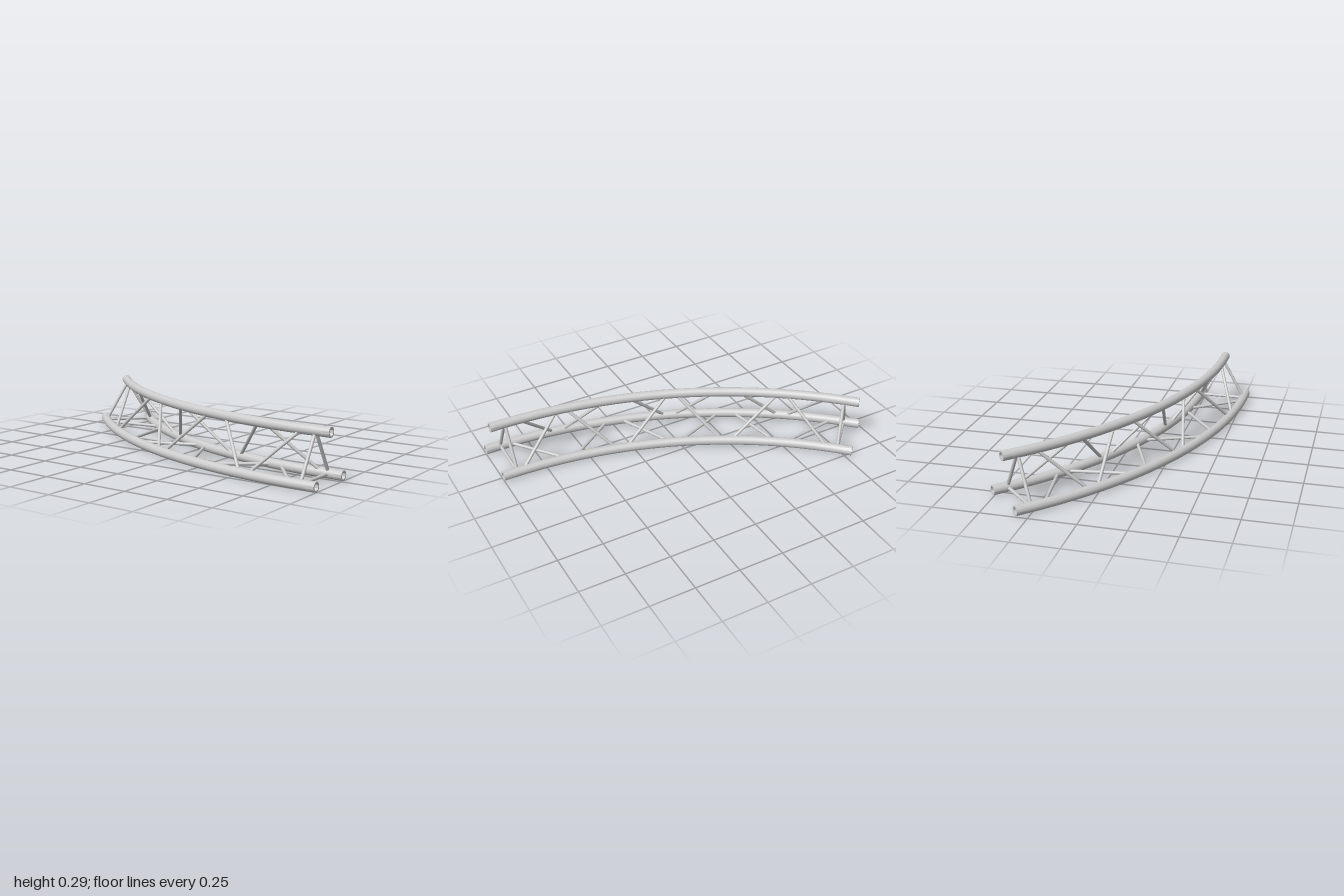
import * as THREE from 'three';
import { toCreasedNormals } from 'three/addons/utils/BufferGeometryUtils.js';

const BEND = Math.PI / 4, STUB = 0.045;           // total bend, straight sleeve at each end
const CX = 2.195, CZ = 0.955;                     // centre of the bend
const PIPE = 0.0265, BORE = 0.0185, ROD = 0.009;
const CHORDS = {
  outer: { r: 2.7, y: 0.0265 },
  apex: { r: 2.5625, y: 0.265 },
  inner: { r: 2.425, y: 0.0265 },
};
const mat = new THREE.MeshStandardMaterial({ color: 0xcccccc });
const UP = new THREE.Vector3(0, 1, 0);
const deg = THREE.MathUtils.degToRad;

// point on a chord at an angle along the bend
function onChord({ r, y }, a) {
  return new THREE.Vector3(CX - r * Math.cos(a), y, CZ - r * Math.sin(a));
}

class BendCurve extends THREE.Curve {
  constructor(chord) {
    super();
    this.chord = chord;
  }
  getPoint(t, target = new THREE.Vector3()) {
    return target.copy(onChord(this.chord, t * BEND));
  }
}

// end sleeve: outside, rim, bore and the closed bottom of the bore
const sleeveProfile = [[PIPE, 0], [PIPE, STUB], [BORE, STUB], [BORE, 0.002], [0.0001, 0.002]]
  .map(([x, y]) => new THREE.Vector2(x, y));
const sleeveGeo = toCreasedNormals(new THREE.LatheGeometry(sleeveProfile, 32), 0.7);

// bent pipe with a sleeve at each end
function makeChord(name, chord) {
  const g = new THREE.Group();
  g.name = name + 'Chord';
  const pipe = new THREE.Mesh(new THREE.TubeGeometry(new BendCurve(chord), 64, PIPE - 0.0003, 32), mat);
  pipe.name = name + 'Pipe';
  g.add(pipe);
  for (const [a, sign] of [[0, -1], [BEND, 1]]) {
    const sleeve = new THREE.Mesh(sleeveGeo, mat);
    sleeve.name = name + 'Sleeve';
    sleeve.position.copy(onChord(chord, a));
    const dir = new THREE.Vector3(Math.sin(a), 0, -Math.cos(a)).multiplyScalar(sign);
    sleeve.quaternion.setFromUnitVectors(UP, dir);
    g.add(sleeve);
  }
  return g;
}

// thin rod between two chord centres, ending inside the pipe walls
function makeRod(name, a, b) {
  const dir = b.clone().sub(a);
  const len = dir.length() - 2 * 0.0235;
  const rod = new THREE.Mesh(new THREE.CylinderGeometry(ROD, ROD, len, 16), mat);
  rod.name = name;
  rod.position.copy(a).add(b).multiplyScalar(0.5);
  rod.quaternion.setFromUnitVectors(UP, dir.normalize());
  return rod;
}

export function createModel() {
  const model = new THREE.Group();
  model.name = 'curvedTriangularTruss';
  for (const [name, chord] of Object.entries(CHORDS)) model.add(makeChord(name, chord));

  // each face: chord with the spread ends, chord with the V points,
  // half spread, half gap at the point, shift along the bend in degrees
  const faces = [
    ['outerFace', CHORDS.apex, CHORDS.outer, 0.25, 0.024, -0.25],
    ['innerFace', CHORDS.inner, CHORDS.apex, 0.272, 0.022, -0.3],
    ['bottomFace', CHORDS.outer, CHORDS.inner, 0.29, 0.022, -0.15],
  ];
  for (const [name, ends, point, spread, gap, shift] of faces) {
    const face = new THREE.Group();
    face.name = name;
    // cross struts near both ends
    for (const a of [deg(0.9), deg(44.1)]) {
      face.add(makeRod('endStrut', onChord(ends, a), onChord(point, a)));
    }
    // three V-shaped pairs of diagonals
    for (const centre of [8.4, 22.5, 36.6]) {
      const mid = deg(centre + shift);
      for (const side of [-1, 1]) {
        face.add(makeRod('diagonal',
          onChord(ends, mid + side * spread / ends.r),
          onChord(point, mid + side * gap / point.r)));
      }
    }
    model.add(face);
  }
  return model;
}
